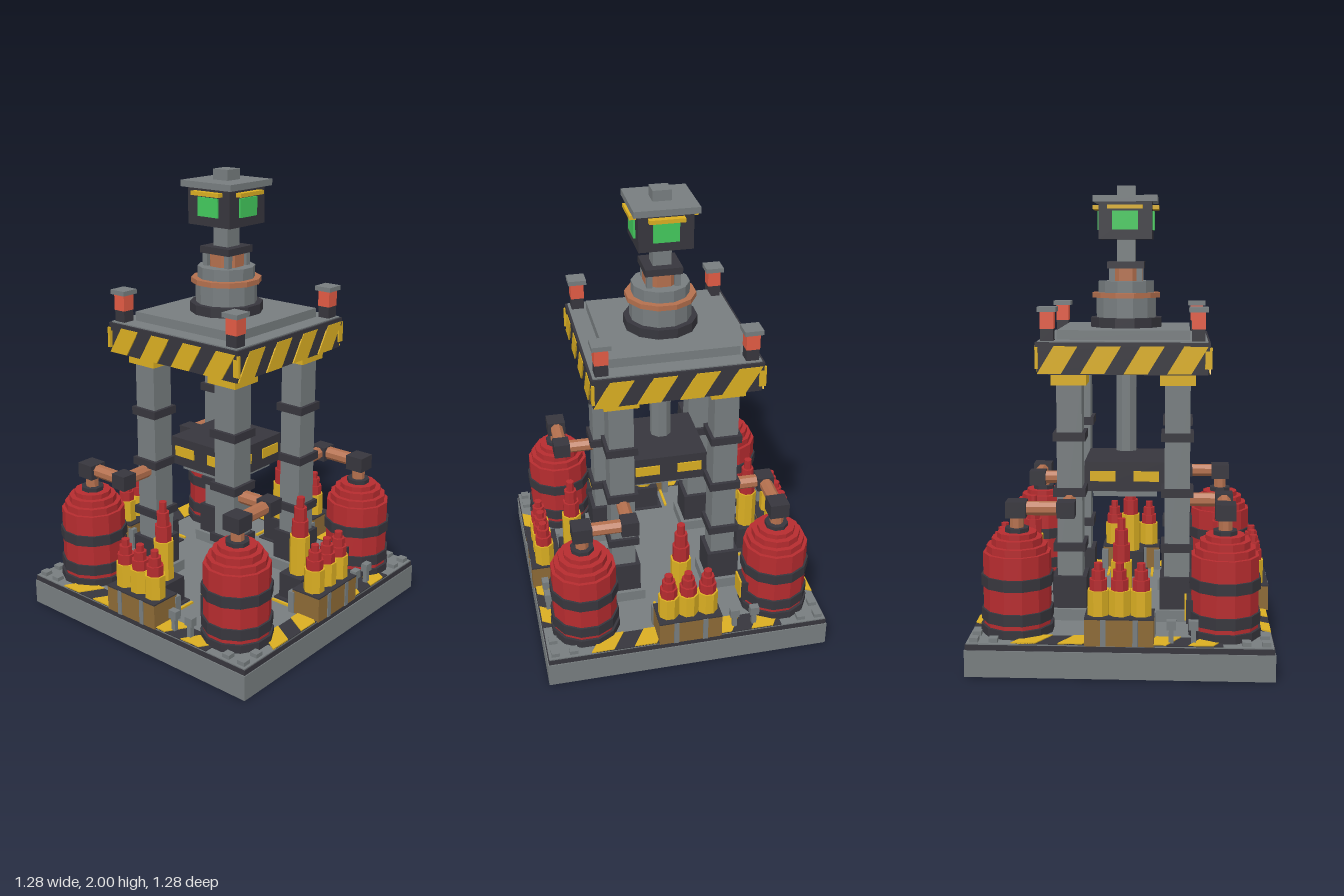
import * as THREE from 'three';

const mat = (name, color) => {
  const m = new THREE.MeshStandardMaterial({ color, flatShading: true });
  m.name = name;
  return m;
};

export function createModel() {
  const gray = mat('steel gray', 0x777d7f);
  const dark = mat('dark iron', 0x37363d);
  const yellow = mat('hazard yellow', 0xdaae22);
  const red = mat('tank red', 0xb62c2f);
  const copper = mat('copper', 0xb4704e);
  const brown = mat('crate brown', 0x8d6a36);
  const green = mat('screen green', 0x43c95d);
  const lampRed = mat('lamp red', 0xe25b44);

  const model = new THREE.Group();
  model.name = 'reactorTower';

  const add = (parent, name, geo, m, x = 0, y = 0, z = 0) => {
    const mesh = new THREE.Mesh(geo, m);
    mesh.name = name;
    mesh.position.set(x, y, z);
    parent.add(mesh);
    return mesh;
  };
  // box between heights y0 and y1, centred on x, z
  const box = (p, name, m, w, d, y0, y1, x = 0, z = 0) =>
    add(p, name, new THREE.BoxGeometry(w, y1 - y0, d), m, x, (y0 + y1) / 2, z);
  // upright straight prism of radius r between heights y0 and y1
  const prism = (p, name, m, r, y0, y1, n = 8, x = 0, z = 0) => {
    const g = new THREE.CylinderGeometry(r, r, y1 - y0, n);
    g.rotateY(Math.PI / n);
    return add(p, name, g, m, x, (y0 + y1) / 2, z);
  };
  // thin slanted stripe in the xy plane
  const stripe = (w, h, lean) => {
    const s = new THREE.Shape();
    s.moveTo(-w / 2 - lean, -h / 2);
    s.lineTo(w / 2 - lean, -h / 2);
    s.lineTo(w / 2 + lean, h / 2);
    s.lineTo(-w / 2 + lean, h / 2);
    return new THREE.ExtrudeGeometry(s, { depth: 0.006, bevelEnabled: false });
  };

  // stepped shell: brass case, red tip
  const shell = (p, x, z, y, h) => {
    const g = new THREE.Group();
    g.name = 'shell';
    g.position.set(x, y, z);
    p.add(g);
    prism(g, 'shellCase', yellow, 0.046, 0, h * 0.5);
    prism(g, 'shellTipLower', red, 0.038, h * 0.5, h * 0.7);
    prism(g, 'shellTipMiddle', red, 0.029, h * 0.7, h * 0.87);
    prism(g, 'shellTip', red, 0.018, h * 0.87, h);
  };

  // deck
  box(model, 'deckCore', dark, 1.256, 1.256, 0.108, 0.135);
  box(model, 'deckPlate', gray, 1.25, 1.25, 0.135, 0.14);

  // gray half of the deck underside
  const half = new THREE.Shape([[-0.617, -0.617], [0.617, 0.617], [0.617, -0.617]]
    .map(([x, z]) => new THREE.Vector2(x, z)));
  const under = new THREE.ExtrudeGeometry(half, { depth: 0.004, bevelEnabled: false });
  under.rotateX(Math.PI / 2);
  under.rotateY(Math.PI / 2);
  add(model, 'undersidePlate', under, gray, 0, 0.108, 0);

  for (let i = 0; i < 4; i++) {
    const q = new THREE.Group();
    q.name = 'quarter';
    q.rotation.y = i * Math.PI / 2;
    model.add(q);

    // open base skirt
    box(q, 'baseWall', gray, 1.264, 0.015, 0, 0.112, 0, 0.6245);

    // hazard border and corner bolts
    box(q, 'deckBorder', dark, 0.84, 0.1, 0.14, 0.144, 0, 0.575);
    for (const x of [-0.36, -0.17, 0.17, 0.36]) {
      const s = add(q, 'deckStripe', stripe(0.1, 0.1, 0.03), yellow, x, 0.142, 0.575);
      s.rotation.x = -Math.PI / 2;
    }
    for (const [x, z] of [[-0.595, 0.595], [-0.515, 0.595], [-0.595, 0.515]])
      box(q, 'deckBolt', gray, 0.036, 0.036, 0.14, 0.158, x, z);

    // small valves on the border
    for (const x of [0.21, 0.3]) {
      box(q, 'valvePost', gray, 0.02, 0.02, 0.14, 0.2, x, 0.585);
      box(q, 'valveHead', gray, 0.04, 0.03, 0.2, 0.238, x, 0.585);
    }

    // ammunition crate with three shells
    box(q, 'crate', brown, 0.28, 0.14, 0.14, 0.25, 0, 0.565);
    box(q, 'crateLid', dark, 0.282, 0.142, 0.25, 0.256, 0, 0.565);
    for (const x of [-0.065, 0.065])
      box(q, 'crateStrap', gray, 0.022, 0.148, 0.14, 0.252, x, 0.565);
    for (const x of [-0.13, 0.13])
      box(q, 'crateBracket', gray, 0.03, 0.03, 0.14, 0.24, x, 0.49);
    for (const x of [-0.087, 0, 0.087]) shell(q, x, 0.57, 0.25, 0.22);

    // single raised shell on its pedestal, with feet below the deck
    box(q, 'pedestalPlate', dark, 0.17, 0.15, 0.14, 0.146, 0, 0.425);
    box(q, 'pedestal', dark, 0.13, 0.12, 0.14, 0.26, 0, 0.425);
    for (const x of [-0.107, 0.107])
      box(q, 'pedestalLine', yellow, 0.012, 0.14, 0.14, 0.149, x, 0.43);
    shell(q, 0, 0.425, 0.26, 0.36);
    for (const x of [-0.078, 0.078])
      for (const z of [0.33, 0.486])
        prism(q, 'pedestalFoot', gray, 0.024, 0.035, 0.12, 6, x, z);

    // pressure tank
    const t = new THREE.Group();
    t.name = 'tank';
    t.position.set(-0.437, 0, 0.43);
    q.add(t);
    prism(t, 'tankFoot', dark, 0.155, 0.14, 0.175, 12);
    prism(t, 'tankBody', red, 0.143, 0.175, 0.48, 12);
    for (const y of [0.195, 0.34])
      prism(t, 'tankBand', dark, 0.152, y, y + 0.048, 12);
    prism(t, 'tankShoulder', red, 0.128, 0.48, 0.51, 12);
    prism(t, 'tankDome', red, 0.107, 0.51, 0.54, 12);
    prism(t, 'tankCrown', red, 0.083, 0.54, 0.562, 12);
    prism(t, 'tankNeck', dark, 0.052, 0.562, 0.58);
    prism(t, 'tankValve', copper, 0.03, 0.58, 0.63);
    box(t, 'tankGauge', dark, 0.1, 0.03, 0.19, 0.29, 0, -0.145);
    box(t, 'tankLabel', yellow, 0.08, 0.008, 0.2, 0.292, 0, -0.162);

    // feed pipe from tank to column
    box(q, 'pipeElbow', dark, 0.085, 0.085, 0.625, 0.692, -0.437, 0.43);
    box(q, 'pipeElbow', dark, 0.075, 0.075, 0.625, 0.692, -0.23, 0.43);
    const run = prism(q, 'feedPipe', copper, 0.03, -0.08, 0.08, 8, -0.33, 0.43);
    run.position.y = 0.66;
    run.rotation.z = Math.PI / 2;
    const link = prism(q, 'feedPipe', copper, 0.03, -0.065, 0.065, 8, -0.23, 0.34);
    link.position.y = 0.66;
    link.rotation.x = Math.PI / 2;

    // supporting column
    const c = new THREE.Group();
    c.name = 'column';
    c.position.set(-0.23, 0, 0.23);
    q.add(c);
    box(c, 'columnFoot', gray, 0.18, 0.18, 0.14, 0.19);
    box(c, 'columnBase', dark, 0.145, 0.145, 0.19, 0.33);
    box(c, 'columnShaft', gray, 0.108, 0.108, 0.33, 1.17);
    for (const y of [0.44, 0.68, 0.92])
      box(c, 'columnBand', dark, 0.138, 0.138, y, y + 0.036);
    box(c, 'columnCapital', yellow, 0.15, 0.15, 1.16, 1.215);

    // core block markings
    for (const x of [-0.095, 0.095])
      box(q, 'coreMarking', yellow, 0.11, 0.008, 0.725, 0.77, x, 0.177);

    // platform rim and stripes
    box(q, 'platformLip', dark, 0.72, 0.012, 1.31, 1.345, 0, 0.358);
    for (const x of [-0.27, -0.09, 0.09, 0.27])
      add(q, 'platformStripe', stripe(0.1, 0.115, 0.035), yellow, x, 1.272, 0.361);
    box(q, 'platformCornerMark', yellow, 0.03, 0.012, 1.235, 1.325, 0.357, 0.357);

    // corner lamp
    box(q, 'lampPost', dark, 0.055, 0.055, 1.345, 1.4, -0.315, 0.315);
    box(q, 'lamp', lampRed, 0.058, 0.058, 1.4, 1.47, -0.315, 0.315);
    box(q, 'lampCap', gray, 0.08, 0.08, 1.47, 1.49, -0.315, 0.315);

    // tower pillars and head screens
    box(q, 'collarPillar', gray, 0.025, 0.025, 1.585, 1.645, -0.06, 0.06);
    box(q, 'screen', green, 0.11, 0.009, 1.81, 1.89, 0, 0.119);
    box(q, 'screenHood', yellow, 0.15, 0.03, 1.898, 1.915, 0, 0.128);
  }

  // central core block between the columns
  box(model, 'coreBlock', dark, 0.35, 0.35, 0.68, 0.81);
  box(model, 'coreUnderside', gray, 0.28, 0.28, 0.65, 0.68);

  // hanging piston
  prism(model, 'piston', gray, 0.048, 0.835, 1.215);

  // upper platform
  box(model, 'platform', dark, 0.712, 0.712, 1.21, 1.34);
  box(model, 'platformTop', gray, 0.708, 0.708, 1.34, 1.35);
  box(model, 'platformPlate', gray, 0.56, 0.56, 1.35, 1.39);

  // turret
  prism(model, 'turretBase', dark, 0.16, 1.39, 1.432, 12);
  prism(model, 'turretLower', gray, 0.134, 1.432, 1.52, 12);
  prism(model, 'turretRing', copper, 0.153, 1.518, 1.54, 12);
  prism(model, 'turretUpper', gray, 0.125, 1.54, 1.59, 12);
  prism(model, 'turretCollar', copper, 0.078, 1.59, 1.645);
  box(model, 'collarCap', dark, 0.16, 0.16, 1.645, 1.675);
  box(model, 'neck', gray, 0.08, 0.08, 1.675, 1.775);

  // head
  box(model, 'head', dark, 0.23, 0.23, 1.77, 1.93);
  box(model, 'headRoof', gray, 0.275, 0.275, 1.928, 1.955);
  box(model, 'headKnob', gray, 0.08, 0.08, 1.955, 2);

  return model;
}
